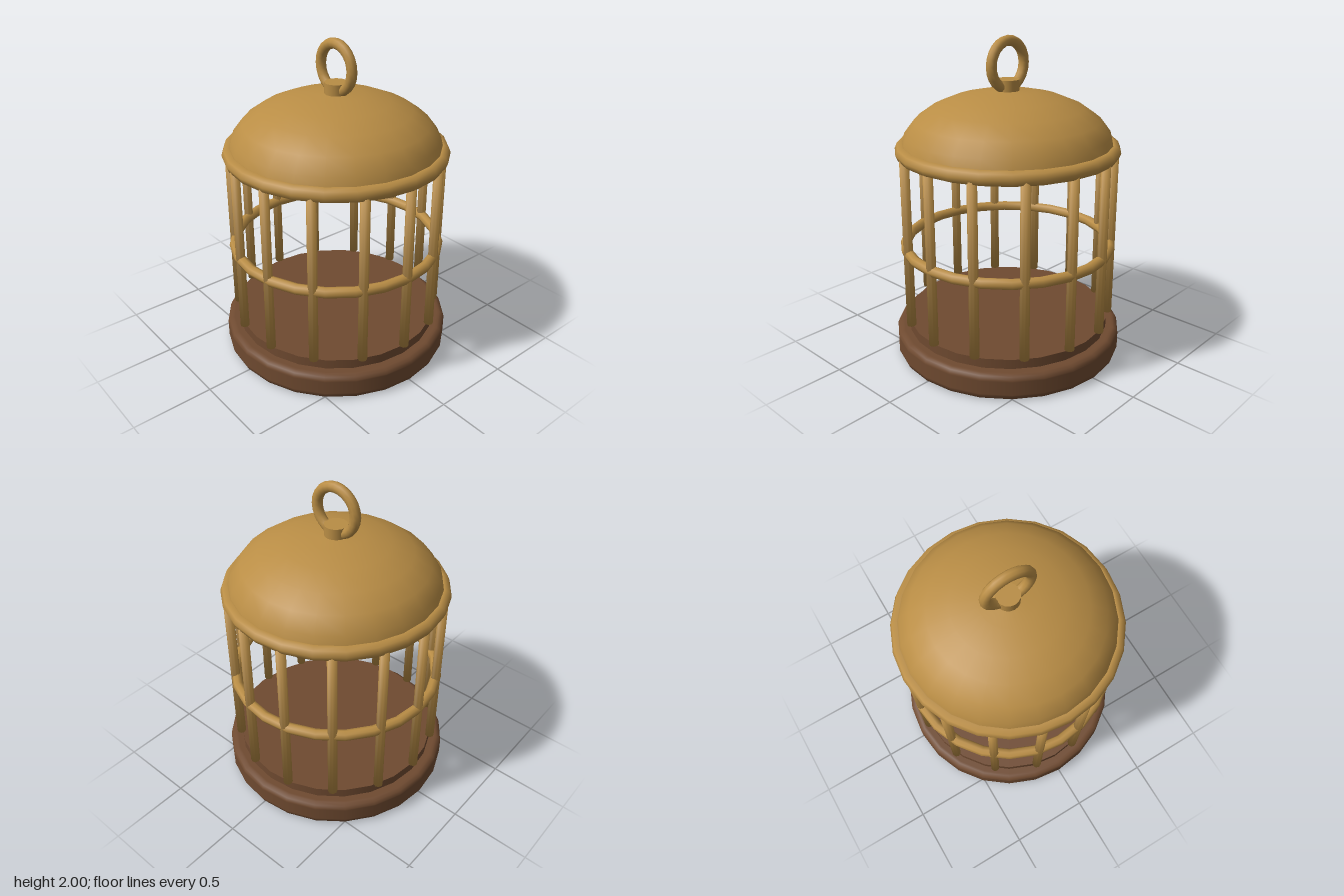
import * as THREE from 'three';

const SIDES = 24;
const BARS = 14;

export function createModel() {
  const model = new THREE.Group();
  model.name = 'birdcage';

  const brass = new THREE.MeshStandardMaterial({ color: 0xb98d45 });
  brass.name = 'brass';
  const brassSheet = new THREE.MeshStandardMaterial({ color: 0xb98d45, side: THREE.DoubleSide });
  brassSheet.name = 'brass sheet';
  const wood = new THREE.MeshStandardMaterial({ color: 0x6f4a30 });
  wood.name = 'brown wood';

  function add(name, geometry, material, x = 0, y = 0, z = 0) {
    const mesh = new THREE.Mesh(geometry, material);
    mesh.name = name;
    mesh.position.set(x, y, z);
    model.add(mesh);
    return mesh;
  }

  const lathe = (points) =>
    new THREE.LatheGeometry(points.map(([r, y]) => new THREE.Vector2(r, y)), SIDES);

  // Round base with softened edges
  add('base', lathe([
    [0, 0], [0.68, 0], [0.695, 0], [0.716, 0.009], [0.725, 0.03], [0.725, 0.04],
    [0.725, 0.125], [0.725, 0.135], [0.716, 0.156], [0.695, 0.165], [0.68, 0.165], [0, 0.165],
  ]), wood);

  // Raised floor on the base
  add('floor', new THREE.CylinderGeometry(0.645, 0.645, 0.065, SIDES), wood, 0, 0.1925, 0);

  // Vertical bars; their end normals lean outward so the shading rolls off softly
  const barGeometry = new THREE.CylinderGeometry(0.029, 0.029, 1.1, 8);
  const pos = barGeometry.attributes.position;
  const normal = new THREE.Vector3();
  for (let i = 0; i < pos.count; i++) {
    normal.set(pos.getX(i) / 0.029, Math.sign(pos.getY(i)), pos.getZ(i) / 0.029).normalize();
    barGeometry.attributes.normal.setXYZ(i, normal.x, normal.y, normal.z);
  }
  for (let i = 0; i < BARS; i++) {
    const a = (i / BARS) * Math.PI * 2;
    add('bar', barGeometry, brass, 0.65 * Math.cos(a), 0.78, 0.65 * Math.sin(a));
  }

  // Hoops around the bars
  const hoop = (name, radius, tube, y) => {
    const geometry = new THREE.TorusGeometry(radius, tube, 8, SIDES);
    add(name, geometry.rotateX(Math.PI / 2), brass, 0, y, 0);
  };
  hoop('middleHoop', 0.648, 0.033, 0.71);
  hoop('topHoop', 0.645, 0.045, 1.325);

  // Shallow dome, open below
  const domePoints = [];
  for (let i = 0; i <= 6; i++) {
    const a = (i / 6) * Math.PI / 2;
    domePoints.push([i === 6 ? 0 : 0.65 * Math.cos(a), 1.33 + 0.35 * Math.sin(a)]);
  }
  add('dome', lathe(domePoints), brassSheet);

  // Hanging ring on a short collar
  add('collar', new THREE.CylinderGeometry(0.07, 0.07, 0.09, 16), brass, 0, 1.697, 0);
  add('hangingRing', new THREE.TorusGeometry(0.14, 0.032, 10, SIDES), brass, 0, 1.828, 0);

  return model;
}
